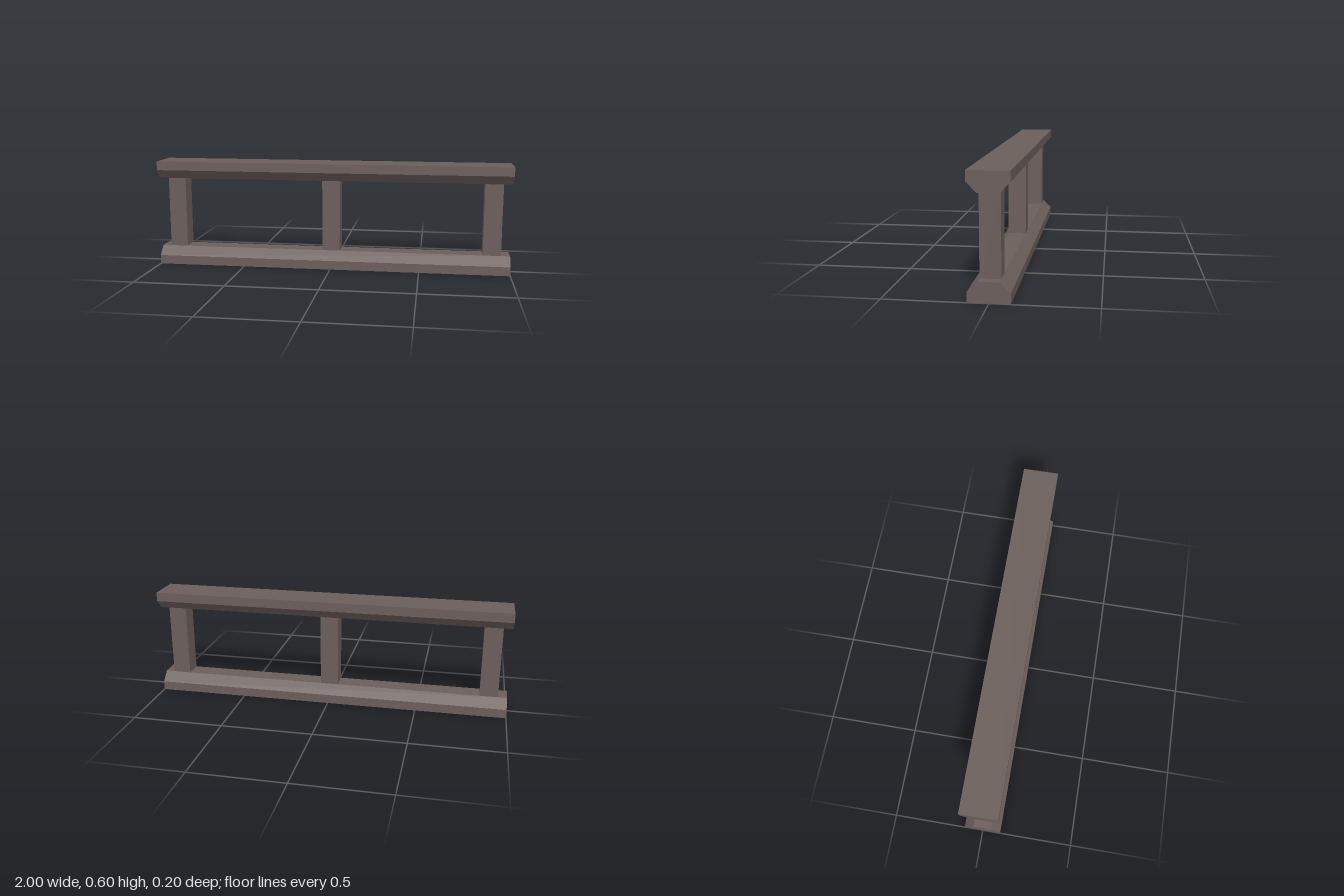
import * as THREE from 'three';

const LENGTH = 2, HEIGHT = 0.6, RAIL = 0.1;

export function createModel() {
  const group = new THREE.Group();
  const material = new THREE.MeshStandardMaterial({ color: 0x6b5e5b, flatShading: true });

  const add = (name, geometry, x, y) => {
    const mesh = new THREE.Mesh(geometry, material);
    mesh.name = name;
    mesh.position.set(x, y, 0);
    group.add(mesh);
  };

  // Rail: chamfered cross-section run along x; flip = -1 turns the chamfers downward
  const railGeometry = (flip) => {
    const profile = [[-0.1, 0], [0.1, 0], [0.1, 0.05], [0.05, RAIL], [-0.05, RAIL], [-0.1, 0.05]];
    const shape = new THREE.Shape(profile.map(([z, y]) => new THREE.Vector2(z, y * flip)));
    return new THREE.ExtrudeGeometry(shape, { depth: LENGTH, bevelEnabled: false })
      .translate(0, 0, -LENGTH / 2)
      .rotateY(Math.PI / 2);
  };
  add('bottomRail', railGeometry(1), 0, 0);
  add('topRail', railGeometry(-1), 0, HEIGHT);

  // Square posts between the rails
  const post = new THREE.BoxGeometry(0.1, HEIGHT - 2 * RAIL, 0.1);
  [['rightPost', -0.9], ['middlePost', 0], ['leftPost', 0.9]]
    .forEach(([name, x]) => add(name, post, x, HEIGHT / 2));

  return group;
}
